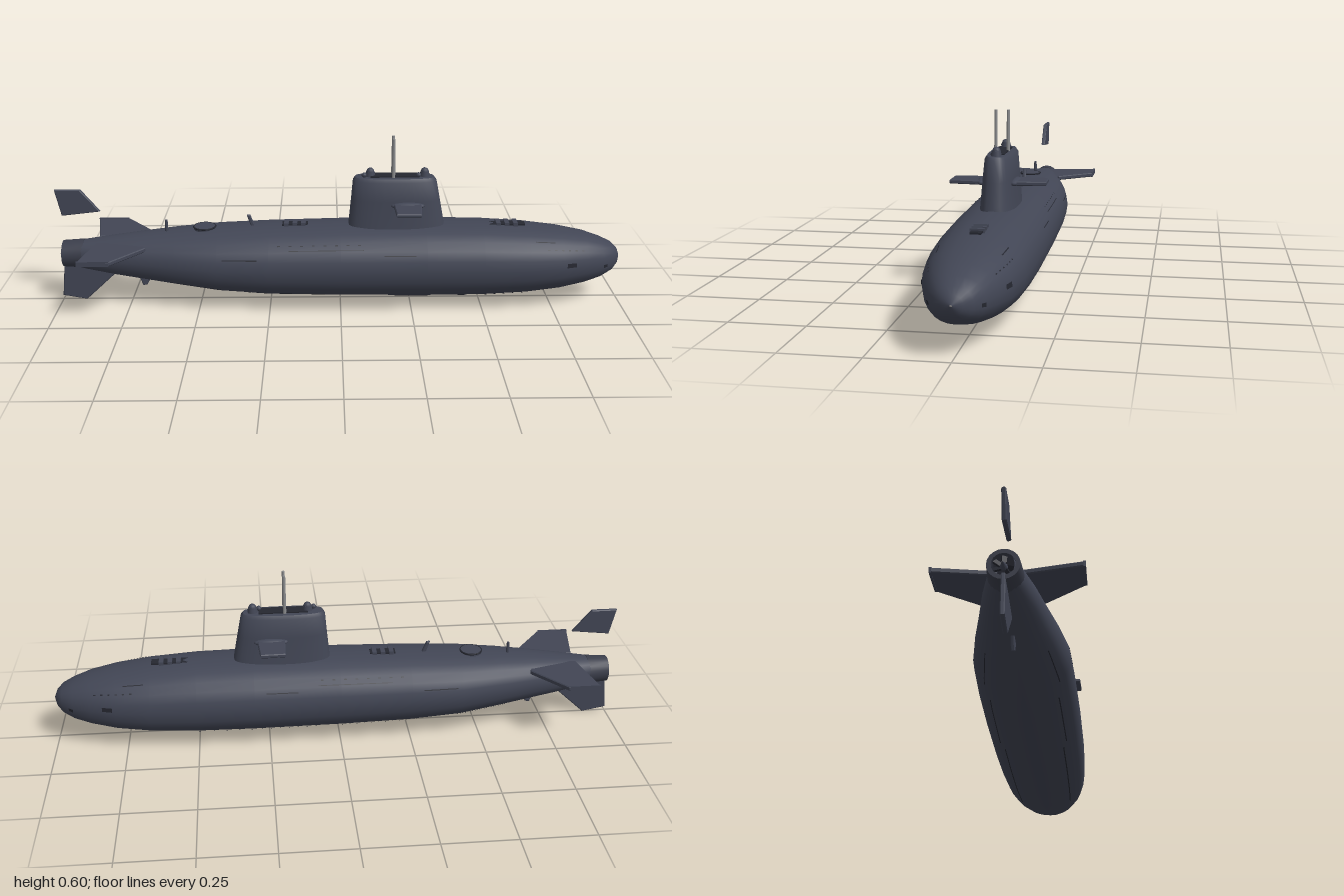
import * as THREE from 'three';
import { toCreasedNormals } from 'three/addons/utils/BufferGeometryUtils.js';

const mat = (name, color, side = THREE.FrontSide) => {
  const m = new THREE.MeshStandardMaterial({ color, side });
  m.name = name;
  return m;
};

// hull stations: x, bottom, top, half width
const STATIONS = [
  [-0.98, 0.14, 0.215, 0.03], [-0.9, 0.122, 0.228, 0.056], [-0.8, 0.105, 0.24, 0.082],
  [-0.7, 0.09, 0.252, 0.102], [-0.58, 0.073, 0.264, 0.128], [-0.43, 0.052, 0.275, 0.154],
  [-0.25, 0.038, 0.283, 0.161], [0, 0.032, 0.289, 0.165], [0.3, 0.029, 0.291, 0.165],
  [0.5, 0.03, 0.288, 0.161], [0.66, 0.038, 0.277, 0.153], [0.78, 0.051, 0.263, 0.135],
  [0.87, 0.068, 0.246, 0.108], [0.93, 0.086, 0.226, 0.083], [0.97, 0.108, 0.207, 0.058],
  [0.99, 0.131, 0.187, 0.033], [1.0, 0.158, 0.162, 0.003],
];

const power = (v, e) => Math.sign(v) * Math.pow(Math.abs(v), e);

function section(x) {
  let i = 0;
  while (i < STATIONS.length - 2 && STATIONS[i + 1][0] < x) i++;
  const a = STATIONS[i], b = STATIONS[i + 1];
  const t = (x - a[0]) / (b[0] - a[0]);
  return a.map((v, k) => v + (b[k] - v) * t);
}

// point on the hull skin; angle 0 is the +z side, PI/2 the deck
function hullPoint(x, angle, off = 0) {
  const [, lo, hi, w] = section(x);
  return [x, (lo + hi) / 2 + ((hi - lo) / 2 + off) * power(Math.sin(angle), 0.9),
    (w + off) * power(Math.cos(angle), 0.9)];
}

// skin through rows of points
function loft(rows, closed) {
  const n = rows[0].length, index = [];
  for (let i = 0; i < rows.length - 1; i++) {
    for (let j = 0; j < (closed ? n : n - 1); j++) {
      const k = (j + 1) % n;
      const a = i * n + j, b = a + n, c = (i + 1) * n + k, d = i * n + k;
      index.push(a, b, c, a, c, d);
    }
  }
  const g = new THREE.BufferGeometry();
  g.setAttribute('position', new THREE.Float32BufferAttribute(rows.flat(2), 3));
  g.setIndex(index);
  g.computeVertexNormals();
  return g;
}

export function createModel() {
  const group = new THREE.Group();
  const hullMat = mat('hull slate', 0x424655);
  const darkMat = mat('dark slots', 0x252730, THREE.DoubleSide);
  const mastMat = mat('mast grey', 0x8c8d8f);

  const add = (name, geo, material = hullMat, x = 0, y = 0, z = 0) => {
    const m = new THREE.Mesh(geo, material);
    m.name = name;
    m.position.set(x, y, z);
    group.add(m);
    return m;
  };
  const ring = (n, f) => Array.from({ length: n }, (_, j) => f((j / n) * Math.PI * 2));

  // pressure hull
  add('hull', loft(STATIONS.map(([x]) => ring(24, a => hullPoint(x, a))), true));

  // stern duct and propeller hub
  const duct = new THREE.LatheGeometry([[0.034, -0.035], [0.047, -0.035], [0.052, 0.04],
    [0.04, 0.04], [0.034, -0.035]].map(p => new THREE.Vector2(...p)), 20);
  add('sternDuct', toCreasedNormals(duct, 0.6), mat('duct slate', 0x3b3e4b, THREE.DoubleSide),
    -0.95, 0.177).rotation.z = -Math.PI / 2;
  add('propellerHub', new THREE.ConeGeometry(0.022, 0.06, 12), hullMat, -0.97, 0.177)
    .rotation.z = Math.PI / 2;
  for (let i = 0; i < 7; i++) {
    const blade = add('propellerBlade', new THREE.BoxGeometry(0.006, 0.038, 0.016), darkMat);
    const a = (i / 7) * Math.PI * 2;
    blade.position.set(-0.965, 0.177 + Math.cos(a) * 0.022, Math.sin(a) * 0.022);
    blade.rotation.set(a, 0.5, 0);
  }

  // flat fins cut from an outline
  const plate = (pts, depth) => new THREE.ExtrudeGeometry(
    new THREE.Shape(pts.map(p => new THREE.Vector2(...p))),
    { depth: depth - 0.006, bevelEnabled: true, bevelThickness: 0.003, bevelSize: 0.003,
      bevelOffset: -0.003, bevelSegments: 1 }).translate(0, 0, 0.003 - depth / 2);
  add('upperRudder', plate([[-0.98, 0.32], [-0.845, 0.335], [-0.91, 0.415], [-1, 0.415]], 0.014));
  add('lowerRudder', plate([[-0.985, 0.15], [-1, 0.016], [-0.915, 0], [-0.79, 0.115],
    [-0.83, 0.15]], 0.014));
  add('skeg', plate([[-0.73, 0.11], [-0.71, 0.052], [-0.695, 0.055], [-0.67, 0.1]], 0.012));
  for (const s of [1, -1]) {
    const flat = pts => pts.map(([x, z]) => [x, z * s]);
    add('sternPlane', plate(flat([[-0.86, 0.03], [-0.895, 0.215], [-0.785, 0.22],
      [-0.68, 0.09], [-0.7, 0.03]]), 0.016).rotateX(Math.PI / 2), hullMat, 0, 0.222);
    add('sternPlaneTip', new THREE.BoxGeometry(0.11, 0.018, 0.007), hullMat, -0.84, 0.222, s * 0.216);
    add('sailPlane', plate(flat([[0.185, 0.03], [0.19, 0.16], [0.275, 0.162],
      [0.285, 0.03]]), 0.014).rotateX(Math.PI / 2), hullMat, 0, 0.368);
    add('sailPlaneRoot', new THREE.SphereGeometry(0.05, 16, 8).scale(1.2, 0.24, 0.36),
      hullMat, 0.235, 0.368, s * 0.055);
  }

  // sail: y, rear x, front x, half width
  const sail = [[0.26, 0.025, 0.372, 0.064], [0.3, 0.03, 0.365, 0.059], [0.38, 0.038, 0.35, 0.053],
    [0.448, 0.044, 0.337, 0.047], [0.46, 0.052, 0.328, 0.039], [0.463, 0.19, 0.192, 0.001]];
  add('sail', toCreasedNormals(loft(sail.map(([y, r, f, w]) => ring(32, a => [
    (r + f) / 2 + (f - r) / 2 * power(Math.cos(a), 0.85), y, w * power(Math.sin(a), 0.6)])), true), 0.7));
  add('sailTopRecess', new THREE.BoxGeometry(0.17, 0.006, 0.045), darkMat, 0.19, 0.462);

  // masts and sail-top fittings
  for (const s of [1, -1]) {
    add('mast', new THREE.CylinderGeometry(0.005, 0.006, 0.14, 12), mastMat, 0.185, 0.53, s * 0.021);
  }
  for (const x of [0.105, 0.295]) {
    add('sailPod', new THREE.CylinderGeometry(0.015, 0.018, 0.02, 12), hullMat, x, 0.468);
    add('sailPodDome', new THREE.SphereGeometry(0.014, 12, 8), hullMat, x, 0.477);
    add('sailPodSide', new THREE.SphereGeometry(0.009, 10, 6), hullMat, x - 0.022, 0.468, 0.012);
  }

  // deck fittings
  const hatch = (x, r) => {
    const y = section(x)[2];
    add('hatch', new THREE.CylinderGeometry(r, r, 0.014, 24), hullMat, x, y);
    add('hatchRim', new THREE.TorusGeometry(r, 0.003, 6, 24).rotateX(Math.PI / 2), darkMat, x, y + 0.005);
  };
  hatch(-0.48, 0.038);
  for (const x of [-0.16, 0.59]) {
    const y = section(x)[2];
    add('deckWell', new THREE.BoxGeometry(x > 0 ? 0.13 : 0.09, 0.006, 0.035), darkMat, x, y);
    for (const dx of [-0.03, 0, 0.03]) {
      add('deckBollard', new THREE.BoxGeometry(0.016, 0.014, 0.045), hullMat, x + dx, y + 0.002);
    }
  }
  add('sternPost', new THREE.CylinderGeometry(0.005, 0.006, 0.045, 8), hullMat, -0.615, 0.278);
  add('deckFin', plate([[-0.33, 0.318], [-0.318, 0.318], [-0.3, 0.275], [-0.315, 0.275]], 0.012));

  // dark slots laid on the hull skin, mirrored side to side
  const slot = (name, x0, x1, angle, width) => {
    const n = Math.max(2, Math.ceil((x1 - x0) / 0.04));
    for (const s of [1, -1]) {
      const rows = Array.from({ length: n + 1 }, (_, i) => [0, 1].map(j => {
        const p = hullPoint(x0 + (x1 - x0) * i / n, angle + (j - 0.5) * width, 0.002);
        return [p[0], p[1], p[2] * s];
      }));
      add(name, loft(rows, false), darkMat);
    }
  };
  slot('bilgeSlot', -0.33, 0.02, -0.85, 0.03);
  slot('bilgeSlot', 0.06, 0.66, -0.95, 0.03);
  slot('bilgeSlot', -0.6, -0.42, -0.75, 0.03);
  slot('sideSlot', -0.41, -0.29, 0.32, 0.03);
  slot('sideSlot', -0.18, 0.08, 0.58, 0.02);
  slot('sideSlot', 0.15, 0.26, 0.42, 0.025);
  slot('deckSlot', 0.68, 0.75, 0.85, 0.03);
  slot('bowWindow', 0.79, 0.825, 0.1, 0.13);
  slot('bowLowerWindow', 0.93, 0.945, -0.1, 0.15);
  for (let i = 0; i < 8; i++) slot('floodHole', -0.22 + i * 0.04, -0.21 + i * 0.04, 0.72, 0.03);
  for (let i = 0; i < 6; i++) slot('bowFloodHole', 0.72 + i * 0.025, 0.728 + i * 0.025, 0.6, 0.04);

  return group;
}
